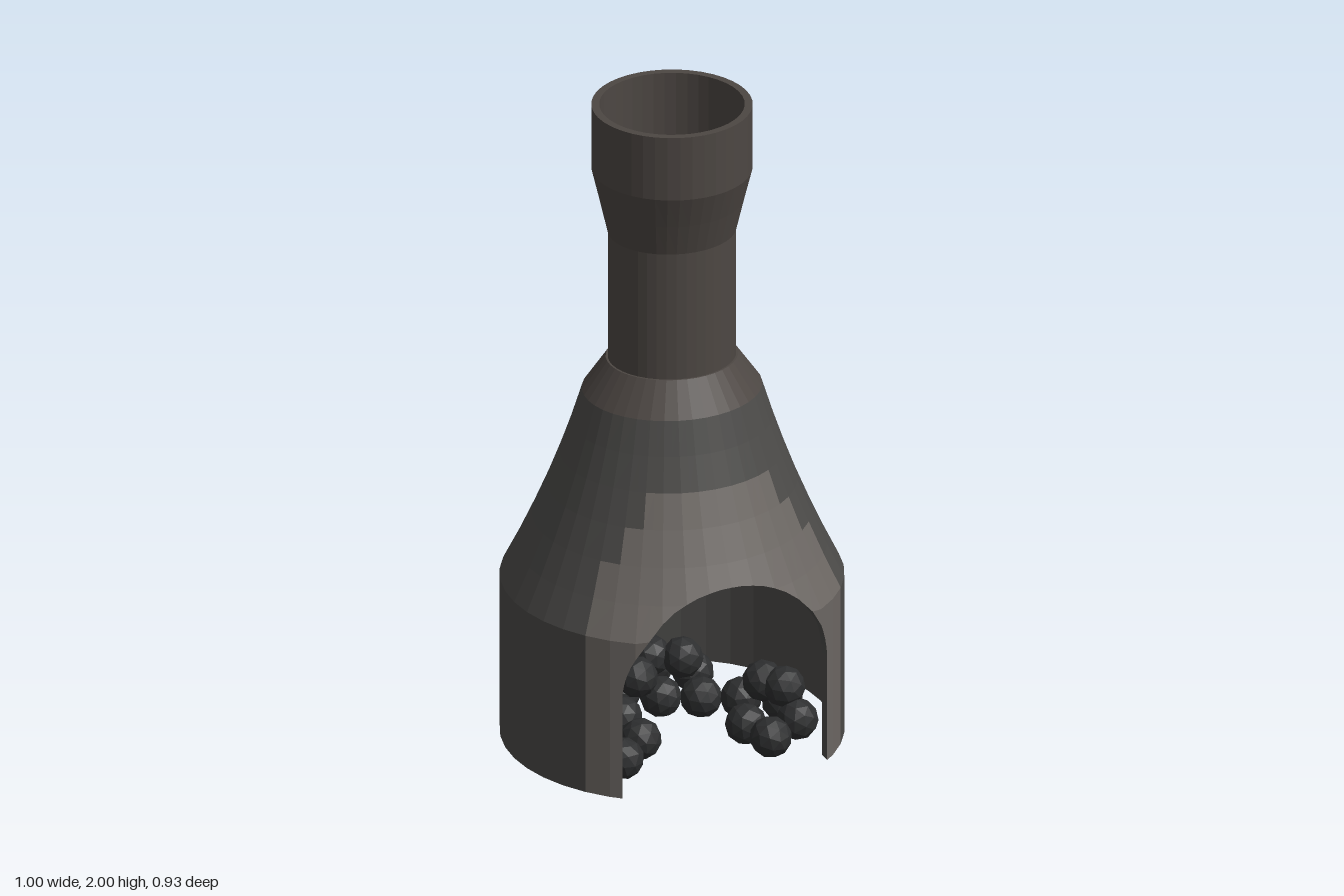
import * as THREE from 'three';

const AXIS_Z = 0.03, SEGMENTS = 40, STEP = 360 / SEGMENTS;
const ARCH_W = 0.325, ARCH_Y = 0.31; // half width and spring height of the fire opening

// Profiles as [height, radius]
const OUTER = [[0, 0.5], [0.5, 0.5], [0.6, 0.452], [0.7, 0.408], [0.8, 0.367],
  [0.9, 0.33], [1.0, 0.296], [1.1, 0.265]];
const INNER = [[0, 0.47], [0.45, 0.47], [0.6, 0.415], [0.8, 0.335], [1.0, 0.265], [1.1, 0.235]];

const material = (color) => new THREE.MeshStandardMaterial({
  color, flatShading: true, side: THREE.DoubleSide, roughness: 0.9,
});

function interpolate(table, y) {
  for (let i = 1; i < table.length; i++) {
    const [y0, v0] = table[i - 1], [y1, v1] = table[i];
    if (y <= y1) return v0 + (v1 - v0) * (y - y0) / (y1 - y0);
  }
  return table[table.length - 1][1];
}

// The neck is slightly narrower from front to back
const depthScale = (y) => interpolate([[0, 1], [0.5, 1], [1.1, 0.92], [1.6, 0.92], [1.8, 1], [2, 1]], y);

// Point on the faceted wall at an angle (degrees from the front) and height
function wallPoint(profile, angle, y) {
  const i = Math.floor(angle / STEP), f = angle / STEP - i;
  const a0 = THREE.MathUtils.degToRad(i * STEP), a1 = THREE.MathUtils.degToRad((i + 1) * STEP);
  const r = interpolate(profile, y);
  return [
    r * (Math.sin(a0) * (1 - f) + Math.sin(a1) * f), y,
    r * depthScale(y) * (Math.cos(a0) * (1 - f) + Math.cos(a1) * f),
  ];
}

// Height of the arch edge at an angle
function archHeight(profile, angle) {
  let lo = ARCH_Y, hi = 0.75;
  for (let i = 0; i < 30; i++) {
    const y = (lo + hi) / 2, x = wallPoint(profile, angle, y)[0];
    if (x * x + (y - ARCH_Y) ** 2 < ARCH_W * ARCH_W) lo = y; else hi = y;
  }
  return lo;
}

function addQuad(out, a, b, c, d) {
  out.push(...a, ...b, ...c, ...a, ...c, ...d);
}

function meshFrom(name, positions, mat) {
  const g = new THREE.BufferGeometry();
  g.setAttribute('position', new THREE.Float32BufferAttribute(positions, 3));
  g.computeVertexNormals();
  const mesh = new THREE.Mesh(g, mat);
  mesh.name = name;
  return mesh;
}

// Wall surface in columns, with the arch left open; returns its edges for closing the thickness
function buildWall(profile, pick, flip) {
  const edge = THREE.MathUtils.radToDeg(Math.asin(ARCH_W / profile[0][1]));
  const half = [4.5, 9, 13.5, 18, 22.5, 27, 31.5, 36, 37.5, 39, 40, 40.5].map((a) => a * edge / 40.5);
  const arch = [...half.map((a) => -a).reverse(), 0, ...half];
  const columns = [...arch];
  for (let a = 45; a < 320; a += STEP) columns.push(a);
  columns.push(360 - edge);

  for (let i = 0; i < columns.length - 1; i++) {
    const a0 = columns[i], a1 = columns[i + 1], open = i < arch.length - 1;
    const low0 = open ? archHeight(profile, a0) : 0;
    const low1 = open ? archHeight(profile, a1) : 0;
    for (let j = 0; j < profile.length - 1; j++) {
      const y0 = profile[j][0], y1 = profile[j + 1][0];
      if (y1 <= low0 && y1 <= low1) continue;
      const quad = [
        wallPoint(profile, a0, Math.max(y0, low0)), wallPoint(profile, a1, Math.max(y0, low1)),
        wallPoint(profile, a1, Math.max(y1, low1)), wallPoint(profile, a0, Math.max(y1, low0)),
      ];
      if (flip) quad.reverse();
      addQuad(pick((a0 + a1) / 2, y0), ...quad);
    }
  }
  return {
    arch: [wallPoint(profile, -edge, 0), ...arch.map((a) => wallPoint(profile, a, archHeight(profile, a))),
      wallPoint(profile, edge, 0)],
    foot: columns.slice(arch.length - 1).map((a) => wallPoint(profile, a, 0)),
  };
}

export function createModel() {
  const model = new THREE.Group();
  model.name = 'chiminea';
  const shell = new THREE.Group();
  shell.name = 'shell';
  shell.position.z = AXIS_Z;
  model.add(shell);

  // Fire chamber with a paler stepped surround in front
  const body = [], surround = [], lining = [], rim = [];
  const inSurround = (angle, y) => {
    const a = Math.min(Math.abs(angle), 360 - angle);
    return a < (y < 0.69 ? 54 : y < 0.79 ? 45 : y < 0.89 ? 36 : 0);
  };
  const outer = buildWall(OUTER, (a, y) => (inSurround(a, y) ? surround : body), false);
  const inner = buildWall(INNER, () => lining, true);

  // Wall thickness around the arch and along the foot
  for (const part of ['arch', 'foot']) {
    const o = outer[part], n = inner[part];
    for (let i = 0; i < o.length - 1; i++) addQuad(rim, n[i], n[i + 1], o[i + 1], o[i]);
  }
  const bodyMat = material(0x4b4a48), pipeMat = material(0x4d4743);
  shell.add(
    meshFrom('chamberWall', body, bodyMat),
    meshFrom('openingSurround', surround, material(0x6b6662)),
    meshFrom('chamberLining', lining, bodyMat),
    meshFrom('wallEdge', rim, bodyMat),
  );

  // Chimney parts as closed lathe profiles, flattened at the neck
  const addLathe = (name, profile) => {
    const points = [...profile, profile[0]].map(([y, r]) => new THREE.Vector2(r, y));
    const g = new THREE.LatheGeometry(points, SEGMENTS);
    const p = g.attributes.position;
    for (let i = 0; i < p.count; i++) p.setZ(i, p.getZ(i) * depthScale(p.getY(i)));
    g.computeVertexNormals();
    const mesh = new THREE.Mesh(g, pipeMat);
    mesh.name = name;
    shell.add(mesh);
  };
  addLathe('collar', [[1.1, 0.265], [1.2, 0.195], [1.2, 0.172], [1.1, 0.235]]);
  addLathe('chimney', [[1.19, 0.189], [1.6, 0.189], [1.7, 0.211], [1.8, 0.234], [2, 0.234],
    [2, 0.211], [1.8, 0.211], [1.6, 0.172], [1.19, 0.172]]);

  // Coals heaped around the chamber in two layers
  const coals = new THREE.Group();
  coals.name = 'coals';
  const lower = [[0.3, 0.25], [0.18, 0.33], [0.31, 0.12], [0.15, 0.22], [0.21, 0.05], [0.105, 0],
    [0.155, -0.17], [0, -0.05], [0.07, -0.26], [-0.1, -0.12], [-0.16, 0.03], [-0.26, -0.13],
    [-0.31, 0.04], [-0.17, 0.19], [-0.27, 0.29], [-0.32, 0.18]];
  const upper = [[0.09, -0.1], [-0.085, -0.03], [0.24, 0.14], [-0.27, 0.11], [-0.2, -0.05],
    [0.28, 0.2], [0.01, -0.15]];
  const coalGeometry = new THREE.IcosahedronGeometry(0.062, 1);
  const coalMat = material(0x2d2e2f);
  [[lower, 0.068], [upper, 0.155]].forEach(([layer, y]) => layer.forEach(([x, z], i) => {
    const coal = new THREE.Mesh(coalGeometry, coalMat);
    coal.name = 'coal';
    coal.position.set(x, y, z);
    coal.rotation.set(i * 1.3, i * 2.1, i * 0.7);
    coals.add(coal);
  }));
  model.add(coals);
  return model;
}
